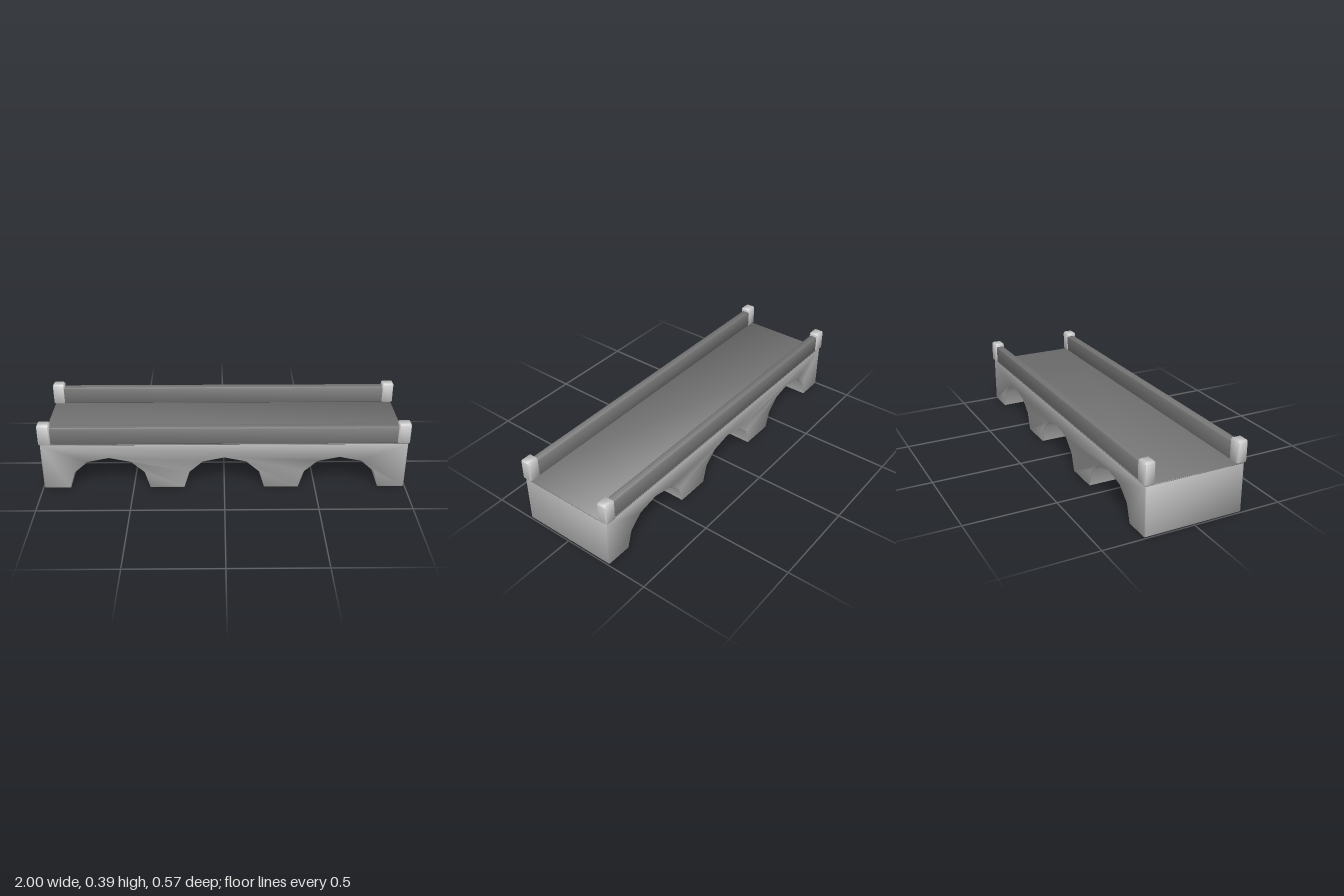
import * as THREE from 'three';
import { toCreasedNormals } from 'three/addons/utils/BufferGeometryUtils.js';

const HALF_LENGTH = 0.994, HALF_WIDTH = 0.275, BODY_TOP = 0.27, BEVEL = 0.005;

// Extrudes a side outline along z, centred, with softly shaded chamfered edges
function chamferedSolid(outline, width, bevel) {
  const geometry = new THREE.ExtrudeGeometry(
    new THREE.Shape(outline.map(([x, y]) => new THREE.Vector2(x, y))),
    {
      depth: width - 2 * bevel, bevelEnabled: true, bevelSegments: 1,
      bevelSize: bevel, bevelThickness: bevel, bevelOffset: -bevel
    }
  );
  geometry.translate(0, 0, bevel - width / 2);
  return toCreasedNormals(geometry, Math.PI / 3);
}

// Box with every edge chamfered
function chamferedBox(length, height, width, bevel) {
  const x = length / 2, y = height / 2, b = bevel;
  return chamferedSolid([
    [-x, b - y], [b - x, -y], [x - b, -y], [x, b - y],
    [x, y - b], [x - b, y], [b - x, y], [-x, y - b]
  ], width, bevel);
}

export function createModel() {
  const model = new THREE.Group();
  model.name = 'bridge';
  const bodyStone = new THREE.MeshStandardMaterial({ color: 0xb2b2b2 });
  const darkStone = new THREE.MeshStandardMaterial({ color: 0x777777 });
  const postStone = new THREE.MeshStandardMaterial({ color: 0xcccccc });

  const add = (name, geometry, material, x = 0, y = 0, z = 0) => {
    const mesh = new THREE.Mesh(geometry, material);
    mesh.name = name;
    mesh.position.set(x, y, z);
    model.add(mesh);
  };

  // Bridge body: side outline with three faceted arches
  const arch = [[-0.22, 0], [-0.19, 0.098], [-0.118, 0.162], [0, 0.187],
    [0.118, 0.162], [0.19, 0.098], [0.22, 0]];
  const outline = [[-HALF_LENGTH, BEVEL], [-HALF_LENGTH + BEVEL, 0]];
  for (const centre of [-0.628, 0, 0.628]) {
    for (const [x, y] of arch) outline.push([centre + x, y]);
  }
  outline.push(
    [HALF_LENGTH - BEVEL, 0], [HALF_LENGTH, BEVEL],
    [HALF_LENGTH, BODY_TOP - BEVEL], [HALF_LENGTH - BEVEL, BODY_TOP],
    [-HALF_LENGTH + BEVEL, BODY_TOP], [-HALF_LENGTH, BODY_TOP - BEVEL]
  );
  add('archedBody', chamferedSolid(outline, 2 * HALF_WIDTH, BEVEL), bodyStone);

  // Thin dark roadway on top of the body
  add('deck', chamferedBox(2 * HALF_LENGTH - 0.002, 0.005, 2 * HALF_WIDTH - 0.002, 0.002),
    darkStone, 0, 0.2695, 0);

  // Parapet rails and chamfered end posts along both edges
  for (const side of [1, -1]) {
    const edge = side > 0 ? 'front' : 'back';
    add(edge + 'Rail', chamferedBox(1.92, 0.1, 0.047, 0.006), darkStone, 0, 0.3225, side * 0.252);
    for (const end of [1, -1]) {
      add(edge + (end > 0 ? 'Left' : 'Right') + 'Post',
        chamferedBox(0.066, 0.12, 0.06, 0.007), postStone,
        end * 0.967, 0.332, side * 0.255);
    }
  }
  return model;
}
